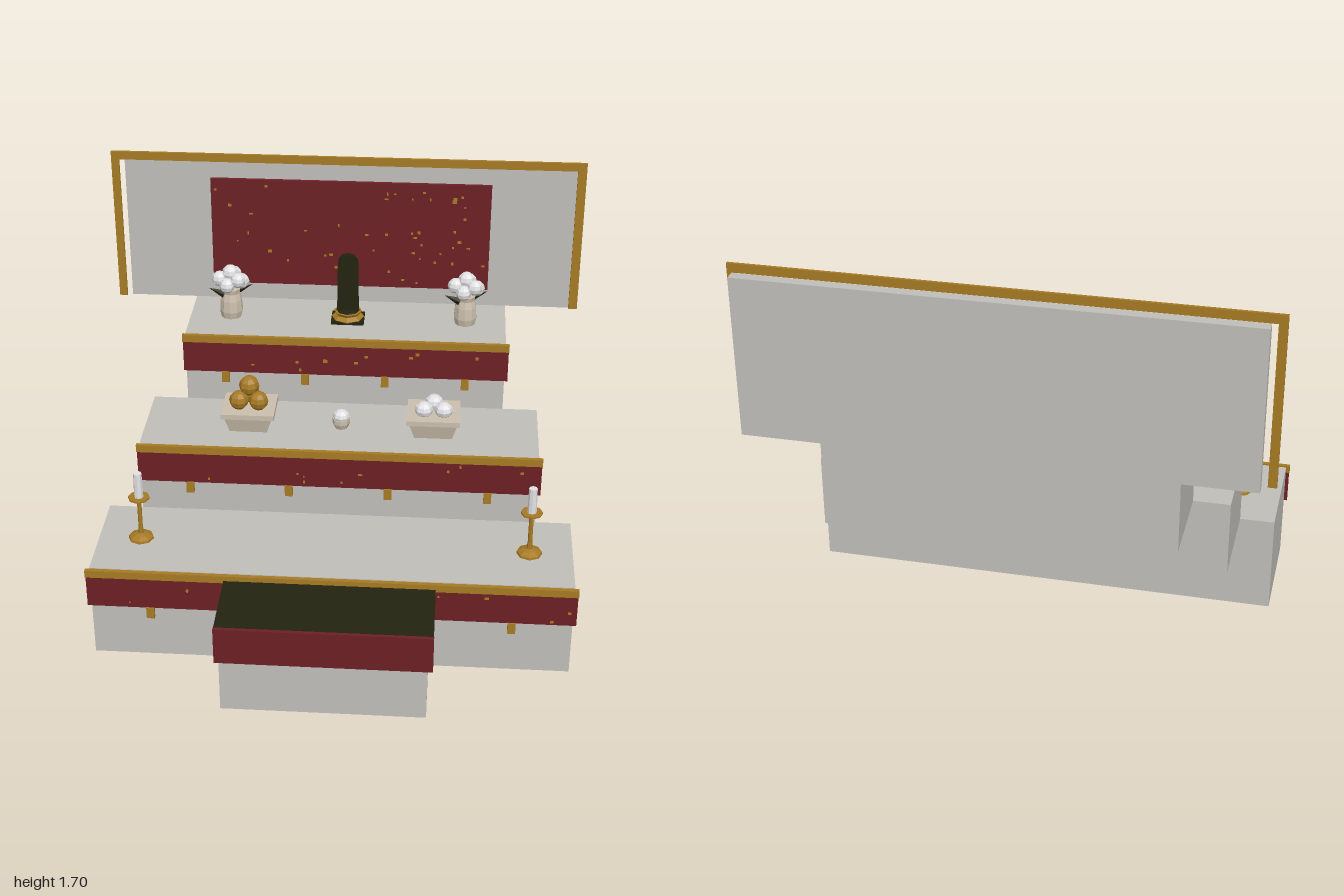
import * as THREE from 'three';

const mat = (name, color) => {
  const m = new THREE.MeshStandardMaterial({ color, flatShading: true });
  m.name = name;
  return m;
};

export function createModel() {
  const root = new THREE.Group();
  root.name = 'tieredAltar';
  const stone = mat('pale grey', 0xc0beb9);
  const red = mat('deep red', 0x6c2024);
  const gold = mat('old gold', 0xa67a24);
  const dark = mat('dark lacquer', 0x232310);
  const white = mat('white', 0xe2e2e4);
  const clay = mat('beige ceramic', 0xcbbfad);

  const add = (parent, name, geo, material, x = 0, y = 0, z = 0) => {
    const m = new THREE.Mesh(geo, material);
    m.name = name;
    m.position.set(x, y, z);
    parent.add(m);
    return m;
  };
  // box given by its minimum and maximum on each axis
  const slab = (parent, name, material, x0, x1, y0, y1, z0, z1) =>
    add(parent, name, new THREE.BoxGeometry(x1 - x0, y1 - y0, z1 - z0), material,
      (x0 + x1) / 2, (y0 + y1) / 2, (z0 + z1) / 2);
  const group = (name, x, y, z) => {
    const g = new THREE.Group();
    g.name = name;
    g.position.set(x, y, z);
    root.add(g);
    return g;
  };
  const lathe = (pts, sides = 8) =>
    new THREE.LatheGeometry(pts.map(p => new THREE.Vector2(...p)), sides);
  const ball = r => new THREE.SphereGeometry(r, 8, 6);

  let seed = 7;
  const rand = () => (seed = (seed * 16807) % 2147483647) / 2147483647;
  // scattered gold flecks woven into a cloth
  const flecks = (n, x0, x1, y0, y1, z) => {
    for (let i = 0; i < n; i++) {
      const x = x0 + 0.02 + rand() * (x1 - x0 - 0.04);
      const y = y0 + 0.012 + rand() * (y1 - y0 - 0.024);
      const w = 0.006 + rand() * 0.012, h = 0.006 + rand() * 0.008;
      slab(root, 'goldFleck', gold, x - w / 2, x + w / 2, y - h / 2, y + h / 2, z, z + 0.002);
    }
  };

  // tiers and backboard
  slab(root, 'lowerTier', stone, -0.945, 0.98, 0, 0.41, 0.005, 0.465);
  slab(root, 'middleTier', stone, -0.805, 0.835, 0.41, 0.715, -0.4, 0.005);
  slab(root, 'upperTier', stone, -0.66, 0.69, 0.715, 1.025, -0.765, -0.4);
  slab(root, 'backboard', stone, -0.945, 0.98, 1.025, 1.66, -0.81, -0.765);

  // gilded frame and hanging cloth
  slab(root, 'frameTop', gold, -1, 1, 1.66, 1.695, -0.764, -0.752);
  slab(root, 'frameRight', gold, -1, -0.967, 1.025, 1.66, -0.764, -0.752);
  slab(root, 'frameLeft', gold, 0.963, 1, 1.025, 1.66, -0.764, -0.752);
  slab(root, 'hangingCloth', red, -0.58, 0.61, 1.105, 1.585, -0.765, -0.748);
  flecks(48, -0.58, 0.61, 1.105, 1.585, -0.748);

  // valances: x range, top height, back z
  const valances = [[-0.96, 0.995, 0.412, 0.472], [-0.815, 0.85, 0.722, 0.008], [-0.67, 0.705, 1.03, -0.393]];
  for (const [x0, x1, top, z] of valances) {
    slab(root, 'valanceTrim', gold, x0, x1, top - 0.032, top, z, z + 0.018);
    slab(root, 'valanceCloth', red, x0 + 0.002, x1 - 0.002, top - 0.17, top - 0.032, z + 0.002, z + 0.013);
    flecks(9, x0, x1, top - 0.17, top - 0.034, z + 0.013);
    for (let i = 0; i < 4; i++) {
      const x = (x0 + x1) / 2 + (i - 1.5) * 0.246 * (x1 - x0);
      slab(root, 'tassel', gold, x - 0.016, x + 0.016, top - 0.217, top - 0.168, z + 0.004, z + 0.02);
    }
  }

  // front table with cover
  slab(root, 'frontTable', stone, -0.39, 0.415, 0, 0.366, 0.487, 0.795);
  slab(root, 'tableCover', dark, -0.405, 0.435, 0.366, 0.391, 0.468, 0.797);
  slab(root, 'tableCloth', red, -0.406, 0.436, 0.235, 0.393, 0.797, 0.812);

  // candlesticks
  for (const x of [-0.773, 0.805]) {
    const g = group('candlestick', x, 0.41, 0.235);
    add(g, 'stand', lathe([[0, 0], [0.052, 0], [0.05, 0.01], [0.03, 0.02], [0.012, 0.026], [0.009, 0.06],
      [0.009, 0.18], [0.025, 0.184], [0.044, 0.191], [0.044, 0.198], [0, 0.198]]), gold);
    add(g, 'candle', new THREE.CylinderGeometry(0.017, 0.019, 0.113, 8), white, 0, 0.252, 0);
  }

  // flower vases
  for (const x of [-0.485, 0.517]) {
    const g = group('flowerVase', x, 1.025, -0.59);
    add(g, 'vase', lathe([[0, 0], [0.044, 0], [0.05, 0.03], [0.046, 0.08], [0.038, 0.11], [0.042, 0.13], [0, 0.13]], 10), clay);
    add(g, 'blossom', ball(0.036), white, 0, 0.2, 0);
    for (let i = 0; i < 6; i++) {
      const a = i * Math.PI / 3 + 0.3;
      add(g, 'blossom', ball(0.033), white, Math.cos(a) * 0.048, 0.158 + (i % 2) * 0.02, -Math.sin(a) * 0.042);
    }
    for (const s of [-1, 1]) {
      const leaf = add(g, 'leaf', new THREE.ConeGeometry(0.02, 0.07, 5), dark, s * 0.058, 0.125, -s * 0.025);
      leaf.rotation.z = -s * 1.2;
      leaf.scale.z = 0.6;
    }
  }

  // memorial tablet: arched board on a lotus foot
  const tablet = group('memorialTablet', 0.017, 1.025, -0.582);
  add(tablet, 'tabletBase', new THREE.BoxGeometry(0.14, 0.014, 0.107), dark, 0, 0.007, 0);
  add(tablet, 'lotusFoot', lathe([[0, 0.008], [0.06, 0.008], [0.07, 0.018], [0.052, 0.032], [0.06, 0.046], [0, 0.046]]), gold);
  add(tablet, 'footTop', new THREE.CylinderGeometry(0.048, 0.05, 0.006, 8), dark, 0, 0.048, 0);
  const board = new THREE.Shape();
  board.moveTo(-0.046, 0.04);
  board.lineTo(0.046, 0.04);
  board.lineTo(0.043, 0.265);
  board.absellipse(0, 0.265, 0.043, 0.043, 0, Math.PI, false);
  board.closePath();
  add(tablet, 'tabletBoard', new THREE.ExtrudeGeometry(board, { depth: 0.02, bevelEnabled: false, curveSegments: 5 }),
    dark, 0, 0, -0.008);

  // offering trays with three or four pieces
  const trayBody = new THREE.CylinderGeometry(0.099 * Math.SQRT2, 0.078 * Math.SQRT2, 0.072, 4);
  trayBody.rotateY(Math.PI / 4).scale(1, 1, 0.86);
  const offering = (name, x, material, r, squash, lift) => {
    const g = group(name, x, 0.715, -0.197);
    add(g, 'trayBody', trayBody, clay, 0, 0.036, 0);
    add(g, 'trayRim', new THREE.BoxGeometry(0.22, 0.022, 0.19), clay, 0, 0.082, 0);
    for (const [dx, dz] of [[0, -0.038], [-0.041, 0.027], [0.041, 0.027]])
      add(g, 'piece', ball(r), material, dx, lift, dz).scale.y = squash;
    return g;
  };
  const fruit = offering('fruitTray', -0.368, gold, 0.041, 1, 0.128);
  add(fruit, 'topFruit', ball(0.043), gold, 0, 0.184, 0);
  offering('cakeTray', 0.4, white, 0.039, 0.85, 0.115);

  // small cup of rice
  const cup = group('riceCup', 0.015, 0.715, -0.2);
  add(cup, 'cup', lathe([[0, 0], [0.028, 0], [0.037, 0.022], [0.037, 0.042], [0, 0.042]]), clay);
  add(cup, 'rice', ball(0.036), white, 0, 0.052, 0).scale.y = 0.8;

  return root;
}
